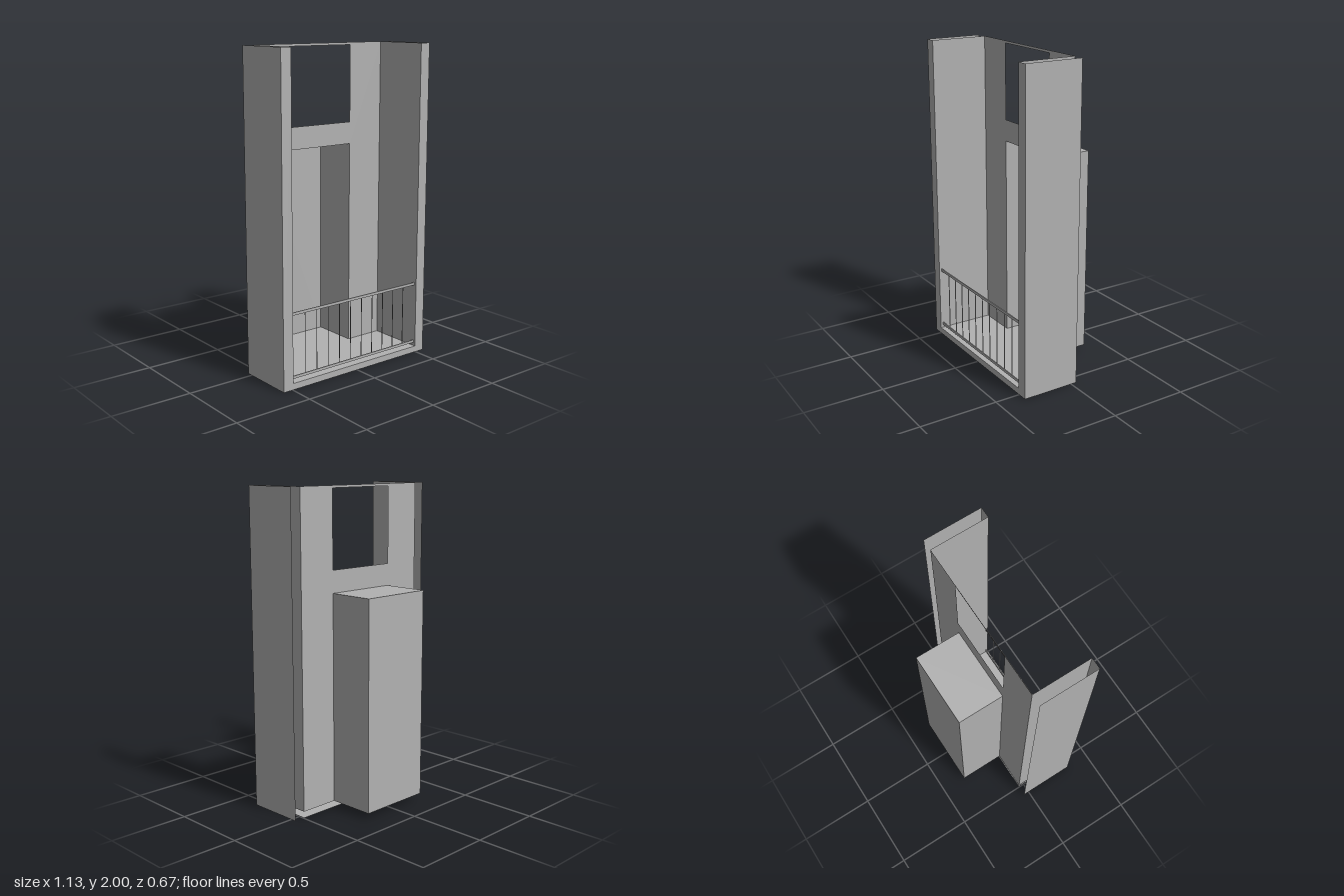
import * as THREE from 'three';

const HALF = 0.495, OUTER = 0.565, TOP = 2, FLOOR = 0.04;
const FRONT = 0.337, WALL = -0.037, BACK = -0.337;
const DOOR = 0.24, DOOR_TOP = 1.36;

export function createModel() {
  const model = new THREE.Group();
  model.name = 'balcony';
  const grey = new THREE.MeshStandardMaterial({ color: 0xb2b2b2, side: THREE.DoubleSide });
  grey.name = 'concrete grey';

  const add = (name, geometry, x = 0, y = 0, z = 0) => {
    const mesh = new THREE.Mesh(geometry, grey);
    mesh.name = name;
    mesh.position.set(x, y, z);
    model.add(mesh);
    return mesh;
  };
  const outline = (points) => new THREE.Shape(points.map(([x, y]) => new THREE.Vector2(x, y)));
  // Upright sheet facing sideways
  const sideSheet = (name, x, y0, y1, z0, z1) =>
    add(name, new THREE.PlaneGeometry(z1 - z0, y1 - y0).rotateY(x < 0 ? -Math.PI / 2 : Math.PI / 2),
      x, (y0 + y1) / 2, (z0 + z1) / 2);
  // Level sheet; faces up or down
  const levelSheet = (name, halfWidth, y, z0, z1, up = true) =>
    add(name, new THREE.PlaneGeometry(halfWidth * 2, z1 - z0).rotateX(up ? -Math.PI / 2 : Math.PI / 2),
      0, y, (z0 + z1) / 2);

  // Front frame: two pillars joined by the slab edge
  add('frontFrame', new THREE.ShapeGeometry(outline([
    [-OUTER, 0], [OUTER, 0], [OUTER, TOP], [HALF, TOP],
    [HALF, FLOOR], [-HALF, FLOOR], [-HALF, TOP], [-OUTER, TOP],
  ])), 0, 0, FRONT);

  // Back wall with door notch and window opening
  const wall = outline([
    [-HALF, FLOOR], [-DOOR, FLOOR], [-DOOR, DOOR_TOP], [DOOR, DOOR_TOP],
    [DOOR, FLOOR], [HALF, FLOOR], [HALF, TOP], [-HALF, TOP],
  ]);
  wall.holes.push(outline([[-DOOR, 1.5], [-DOOR, 1.985], [DOOR, 1.985], [DOOR, 1.5]]));
  add('backWall', new THREE.ShapeGeometry(wall), 0, 0, WALL);

  // Hollow side walls and alcove sides
  for (const [side, s] of [['left', 1], ['right', -1]]) {
    sideSheet(side + 'OuterWall', s * OUTER, 0, TOP, WALL, FRONT);
    sideSheet(side + 'InnerWall', s * HALF, FLOOR, TOP, WALL, FRONT);
    sideSheet(side + 'AlcoveWall', s * DOOR, FLOOR, DOOR_TOP, BACK, WALL);
  }

  // Floor, underside and the rest of the alcove
  levelSheet('floor', HALF, FLOOR, WALL, FRONT);
  levelSheet('underside', HALF, 0, WALL, FRONT, false);
  levelSheet('alcoveFloor', DOOR, FLOOR, BACK, WALL);
  levelSheet('alcoveCeiling', DOOR, DOOR_TOP, BACK, WALL);
  add('alcoveBack', new THREE.PlaneGeometry(DOOR * 2, DOOR_TOP - FLOOR).rotateY(Math.PI),
    0, (DOOR_TOP + FLOOR) / 2, BACK);

  // Railing: two rails and ten paper-thin balusters
  const railZ = 0.32, depth = 0.007;
  add('topRail', new THREE.BoxGeometry(1.035, 0.017, depth), 0, 0.463, railZ);
  add('bottomRail', new THREE.BoxGeometry(1.035, 0.017, depth), 0, 0.07, railZ);
  for (let i = 0; i < 10; i++) {
    sideSheet('baluster', -0.394 + i * 0.0876, 0.078, 0.455, railZ - depth / 2, railZ + depth / 2);
  }
  return model;
}
